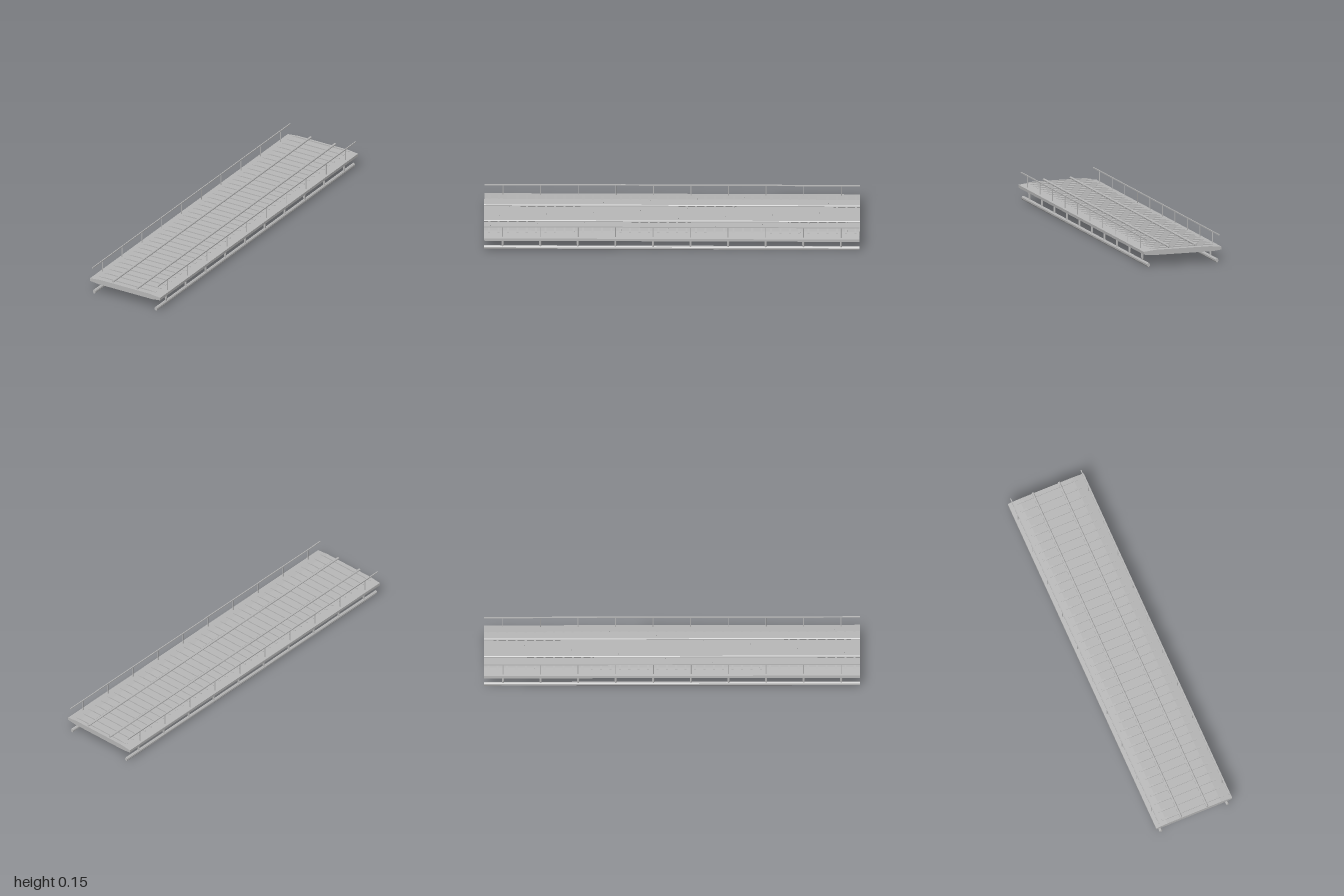
import * as THREE from 'three';

const steel = new THREE.MeshStandardMaterial({ color: 0xb8b8b8, flatShading: true });
steel.name = 'grey steel';

const LENGTH = 2;

export function createModel() {
  const bridge = new THREE.Group();
  bridge.name = 'railwayBridge';

  const add = (name, geometry, x = 0, y = 0, z = 0) => {
    const mesh = new THREE.Mesh(geometry, steel);
    mesh.name = name;
    mesh.position.set(x, y, z);
    bridge.add(mesh);
    return mesh;
  };

  // Bar along z with a rounded octagonal section
  const bar = (rx, ry) => {
    const g = new THREE.CylinderGeometry(1, 1, LENGTH, 8);
    g.rotateY(Math.PI / 8).rotateX(Math.PI / 2);
    const edge = Math.cos(Math.PI / 8);
    return g.scale(rx / edge, ry / edge, 1);
  };

  // Deck slab with tapered edges
  const half = [[0.17, 0.062], [0.22, 0.068], [0.22, 0.083], [0.155, 0.09]];
  const outline = [...half, ...half.map(([x, y]) => [-x, y]).reverse()];
  const deck = new THREE.ExtrudeGeometry(
    new THREE.Shape(outline.map(([x, y]) => new THREE.Vector2(x, y))),
    { depth: LENGTH, bevelEnabled: false });
  add('deck', deck, 0, 0, -LENGTH / 2);

  // Sleepers with thinned ends
  const sleeperShape = new THREE.Shape([
    [-0.178, 0.094], [0.178, 0.094], [0.178, 0.096], [0.138, 0.0995],
    [-0.138, 0.0995], [-0.178, 0.096],
  ].map(([x, y]) => new THREE.Vector2(x, y)));
  const sleeper = new THREE.ExtrudeGeometry(sleeperShape, { depth: 0.011, bevelEnabled: false });
  sleeper.translate(0, 0, -0.0055);
  for (let i = 0; i < 40; i++) add('sleeper', sleeper, 0, 0, -0.978 + i * 0.05);

  // Shared parts for both sides
  const trackRail = bar(0.006, 0.006);
  const lowerBeam = bar(0.008, 0.0105);
  const handrail = new THREE.BoxGeometry(0.005, 0.006, LENGTH);
  const railPost = new THREE.CylinderGeometry(0.0025, 0.0025, 0.064, 8);
  const hanger = new THREE.CylinderGeometry(0.0065, 0.0055, 0.052, 8);

  for (const side of [-1, 1]) {
    add('trackRail', trackRail, side * 0.076, 0.102);
    add('handrail', handrail, side * 0.204, 0.148);
    add('lowerBeam', lowerBeam, side * 0.193, 0.0105);
    for (let i = 0; i < 10; i++) {
      const z = -0.9 + i * 0.2;
      add('handrailPost', railPost, side * 0.204, 0.116, z);
      add('hanger', hanger, side * 0.193, 0.042, z);
    }
  }
  return bridge;
}
